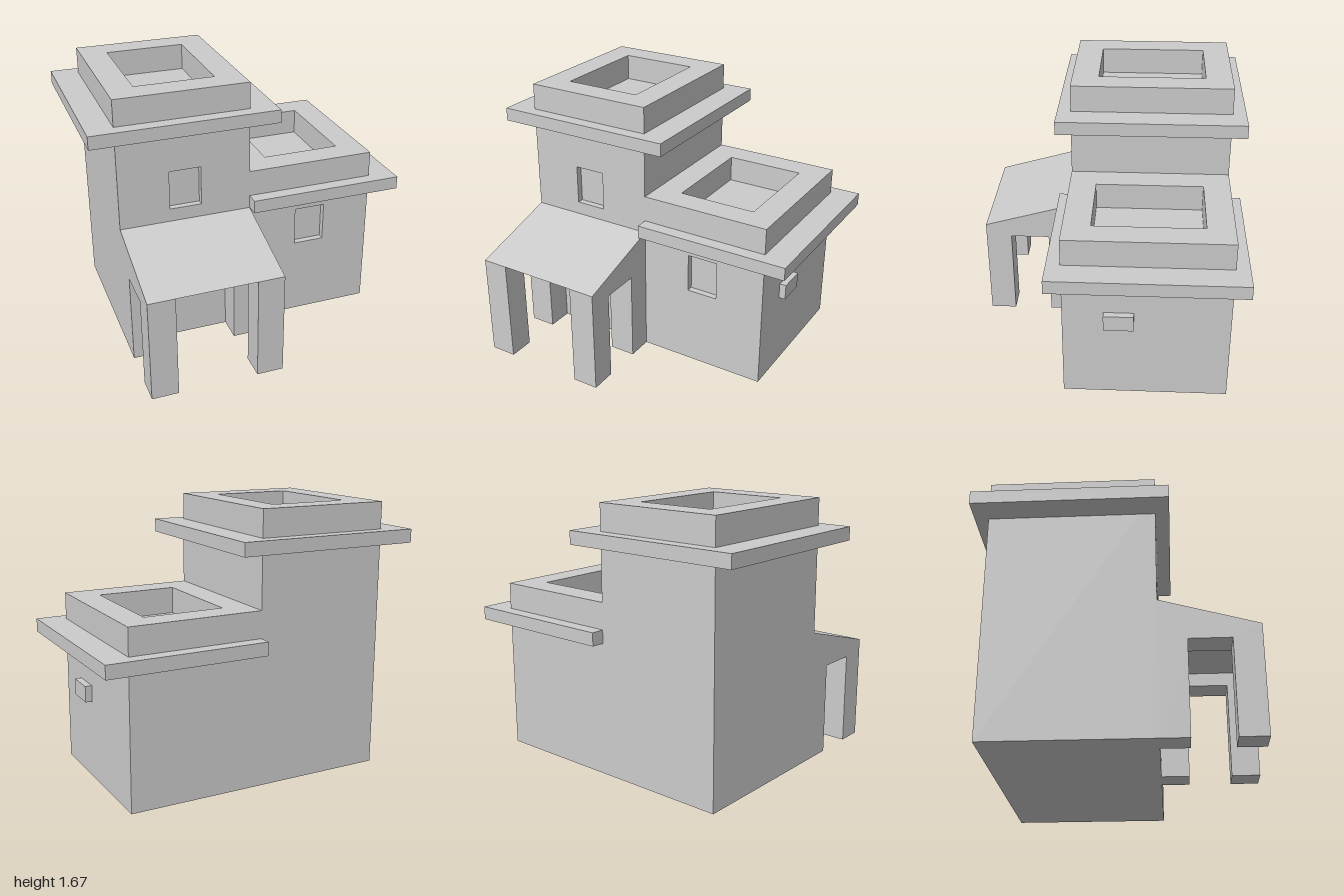
import * as THREE from 'three';

const U = 1 / 12; // the building sits on a grid of twelfths

const polygon = (pts) => new THREE.Shape(pts.map(([x, y]) => new THREE.Vector2(x, y)));
const rect = (x0, x1, y0, y1) => [[x0, y0], [x1, y0], [x1, y1], [x0, y1]];

function withHoles(pts, holes) {
  const shape = polygon(pts);
  holes.forEach((h) => shape.holes.push(polygon([...h].reverse())));
  return shape;
}

export function createModel() {
  const model = new THREE.Group();
  const material = new THREE.MeshStandardMaterial({ color: 0xcccccc, flatShading: true });

  function add(name, geometry) {
    const mesh = new THREE.Mesh(geometry, material);
    mesh.name = name;
    model.add(mesh);
    return mesh;
  }
  const extrude = (shape, depth) =>
    new THREE.ExtrudeGeometry(shape, { depth, bevelEnabled: false });

  // Elevation outline (x, y) pushed from z0 to z1
  const wall = (name, shape, z0, z1) =>
    add(name, extrude(shape, z1 - z0).translate(0, 0, z0));

  // Floor plan (x, -z) raised from y0 to y1
  const plan = (name, shape, y0, y1) =>
    add(name, extrude(shape, y1 - y0).rotateX(-Math.PI / 2).translate(0, y0, 0));

  // Side profile (z, y) pushed from x0 to x1
  const profile = (name, pts, x0, x1) =>
    add(name, extrude(polygon(pts.map(([z, y]) => [-z, y])), x1 - x0)
      .rotateY(Math.PI / 2).translate(x0, 0, 0));

  // Tall tower and low wing share one stepped outline
  const outline = [[-10 * U, 0], [10 * U, 0], [10 * U, 11 * U], [0, 11 * U], [0, 18 * U], [-10 * U, 18 * U]];
  const front = 3 * U;
  const recess = U / 2;
  const windows = [
    rect(-0.517, -0.317, 0.917, 1.167),
    rect(0.317, 0.517, 0.51, 0.76),
  ];
  wall('body', polygon(outline), -9 * U, front - recess);
  wall('frontWall', withHoles(outline, windows), front - recess, front);

  // Parapets around the sunken roofs
  [['towerParapet', -10 * U, 18 * U, 20 * U], ['wingParapet', 0, 11 * U, 13 * U]].forEach(([name, x, y0, y1]) => {
    const hole = rect(x + 2 * U, x + 8 * U, -U, 7 * U);
    plan(name, withHoles(rect(x, x + 10 * U, -3 * U, 9 * U), [hole]), y0, y1);
  });

  // Ledges: a full ring on the tower, three sides on the wing
  plan('towerLedge', withHoles(rect(-12 * U, 2 * U, -4 * U, 10 * U),
    [rect(-10 * U, 0, -3 * U, 9 * U)]), 17 * U, 18 * U);
  plan('wingLedge', polygon([
    [0, -4 * U], [12 * U, -4 * U], [12 * U, 10 * U], [0, 10 * U],
    [0, 9 * U], [10 * U, 9 * U], [10 * U, -3 * U], [0, -3 * U],
  ]), 10 * U, 11 * U);

  // Porch: sloping roof wedge on two side arches
  profile('porchRoof', [[3 * U, 8 * U], [3 * U, 10 * U], [10 * U, 8 * U]], -10 * U, 0);
  const arch = [
    [3 * U, 0], [3 * U, 8 * U], [10 * U, 8 * U], [10 * U, 0],
    [8 * U, 0], [8 * U, 7 * U], [5 * U, 7 * U], [5 * U, 0],
  ];
  [-10 * U, -2 * U].forEach((x) => profile('porchArch', arch, x, x + 2 * U));

  // Small box on the side wall
  add('wallBox', new THREE.BoxGeometry(U / 2, 0.1, 0.18).translate(10.25 * U, 0.543, -0.086));

  return model;
}
